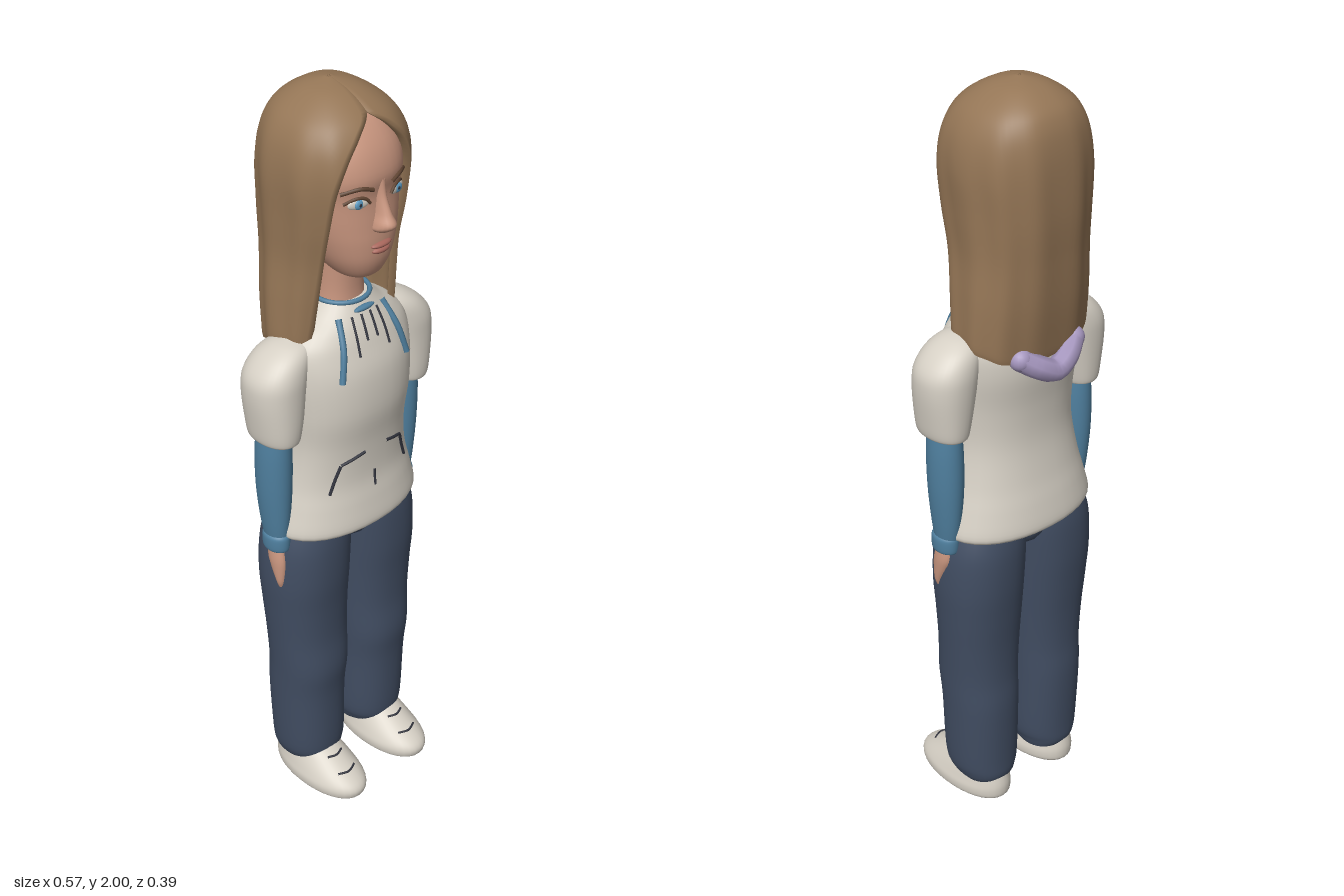
import * as THREE from 'three';

const mat = (name, color, side = THREE.FrontSide) => {
  const m = new THREE.MeshStandardMaterial({ color, side });
  m.name = name;
  return m;
};
const M = {
  skin: mat('skin', 0xc9967f),
  hair: mat('hair brown', 0x957656, THREE.DoubleSide),
  cream: mat('cream cloth', 0xd6d0c5),
  blue: mat('blue knit', 0x4f7f9e),
  navy: mat('navy denim', 0x414d62),
  lilac: mat('lilac', 0xa697bf),
  line: mat('dark seam', 0x33353f),
  brow: mat('brow brown', 0x5f4432),
  iris: mat('iris blue', 0x5d9cc4),
  lip: mat('lip', 0xa8675c),
};

// Smoothly resample rows of numbers
function resample(keys, steps = 5) {
  const out = [];
  const n = keys.length;
  for (let i = 0; i < n - 1; i++) {
    const [a, b, c, d] = [keys[Math.max(i - 1, 0)], keys[i], keys[i + 1], keys[Math.min(i + 2, n - 1)]];
    for (let s = 0; s < steps; s++) {
      const t = s / steps;
      out.push(b.map((v, k) => v + 0.5 * t * (c[k] - a[k]
        + t * (2 * a[k] - 5 * v + 4 * c[k] - d[k] + t * (3 * (v - c[k]) + d[k] - a[k])))));
    }
  }
  out.push(keys[n - 1]);
  return out;
}

// Closed surface through rings of points (ordered bottom to top), capped at both ends
function skinRings(rings) {
  const n = rings[0].length, pos = [], idx = [];
  rings.forEach((r) => r.forEach((p) => pos.push(...p)));
  for (let i = 0; i < rings.length - 1; i++) {
    for (let j = 0; j < n; j++) {
      const a = i * n + j, b = i * n + (j + 1) % n;
      idx.push(a, b, a + n, b, b + n, a + n);
    }
  }
  [[rings[0], true], [rings[rings.length - 1], false]].forEach(([r, bottom]) => {
    const base = pos.length / 3;
    const mid = [0, 1, 2].map((k) => r.reduce((s, p) => s + p[k], 0) / n);
    pos.push(...mid);
    r.forEach((p) => pos.push(...p));
    for (let j = 0; j < n; j++) {
      const a = base + 1 + j, b = base + 1 + (j + 1) % n;
      if (bottom) idx.push(base, b, a); else idx.push(base, a, b);
    }
  });
  const g = new THREE.BufferGeometry();
  g.setAttribute('position', new THREE.Float32BufferAttribute(pos, 3));
  g.setIndex(idx);
  g.computeVertexNormals();
  return g;
}

const pw = (v, e) => Math.sign(v) * Math.abs(v) ** e;

// Body form from rows [y, xMin, xMax, zBack, zFront] with superellipse sections
function form(keys, n = 2.2, seg = 36) {
  const rows = resample(keys);
  const rings = rows.map(([y, x0, x1, z0, z1]) => Array.from({ length: seg }, (_, j) => {
    const t = (j / seg) * Math.PI * 2;
    return [(x0 + x1) / 2 + ((x1 - x0) / 2) * pw(Math.sin(t), 2 / n), y,
      (z0 + z1) / 2 + ((z1 - z0) / 2) * pw(Math.cos(t), 2 / n)];
  }));
  // Front surface depth at a given x and y
  const front = (x, y) => {
    let i = rows.findIndex((r) => r[0] >= y);
    i = Math.max(1, i < 0 ? rows.length - 1 : i);
    const f = (y - rows[i - 1][0]) / (rows[i][0] - rows[i - 1][0]);
    const [, x0, x1, z0, z1] = rows[i].map((v, k) => rows[i - 1][k] + (v - rows[i - 1][k]) * f);
    const u = Math.min(1, Math.abs((2 * x - x0 - x1) / (x1 - x0)));
    return (z0 + z1) / 2 + ((z1 - z0) / 2) * (1 - u ** n) ** (1 / n);
  };
  return { geo: skinRings(rings), front };
}
const sym = (rows) => rows.map(([y, w, z0, z1]) => [y, -w, w, z0, z1]);
const flip = (rows, s) => (s > 0 ? rows : rows.map(([y, x0, x1, z0, z1]) => [y, -x1, -x0, z0, z1]));

// Hair shell: C-shaped sections from rows [y, halfWidth, zBack, zFront, halfOpening]
function hairGeometry() {
  const rows = resample([
    [1.385, .176, -.148, .072, .14], [1.41, .178, -.153, .076, .137], [1.5, .173, -.168, .09, .13],
    [1.6, .165, -.178, .108, .124], [1.7, .167, -.186, .132, .124], [1.8, .17, -.187, .142, .116],
    [1.87, .161, -.182, .135, .088], [1.92, .14, -.17, .114, .045], [1.955, .108, -.147, .082, 0],
    [1.985, .06, -.1, .03, 0], [2, .008, -.045, -.03, 0]], 6);
  const n = 2.4, seg = 56, low = rows[0][0];
  return skinRings(rows.map(([y, rx, z0, z1, open]) => {
    const a = Math.asin(Math.min(1, (Math.max(0, open) / rx) ** (n / 2)));
    const wave = 0.017 * Math.min(1, Math.max(0, (1.98 - y) / 0.2));
    const drop = Math.min(1, Math.max(0, (1.6 - y) / 0.2));
    const thin = y - low < 0.002 ? 0.99 : 0.89;
    const point = (j, k) => {
      const t = a + ((Math.PI * 2 - 2 * a) * j) / seg;
      const r = k * (1 + wave * Math.sin(11 * t + 5 * y));
      return [rx * r * pw(Math.sin(t), 2 / n), y - 0.05 * drop * Math.max(0, -Math.cos(t)),
        (z0 + z1) / 2 + ((z1 - z0) / 2) * r * pw(Math.cos(t), 2 / n)];
    };
    const outer = [], inner = [];
    for (let j = 0; j <= seg; j++) {
      outer.push(point(j, 1));
      inner.unshift(point(j, thin));
    }
    return [...outer, ...inner];
  }));
}

export function createModel() {
  const model = new THREE.Group();
  model.name = 'standing woman';
  const add = (name, geo, material) => {
    const m = new THREE.Mesh(geo, material);
    m.name = name;
    model.add(m);
    return m;
  };
  const ball = (name, material, p, r) => {
    const m = add(name, new THREE.SphereGeometry(1, 20, 14), material);
    m.position.set(...p);
    m.scale.set(...r);
    return m;
  };
  const tube = (name, material, pts, r) => add(name, new THREE.TubeGeometry(
    new THREE.CatmullRomCurve3(pts.map((p) => new THREE.Vector3(...p))), 14, r, 8), material);
  // Thin line lying on the front of a form
  const seam = (name, material, f, pts, r) =>
    tube(name, material, pts.map(([x, y]) => [x, y, f.front(x, y) + r * 0.4]), r);

  // Head, neck and hair
  const head = form(sym([
    [1.545, .03, .02, .085], [1.56, .056, -.02, .112], [1.6, .084, -.06, .13], [1.65, .105, -.09, .135],
    [1.7, .118, -.1, .133], [1.765, .128, -.11, .13], [1.82, .13, -.11, .138], [1.88, .122, -.11, .12],
    [1.93, .09, -.09, .08], [1.955, .04, -.05, .03]]));
  add('head', head.geo, M.skin);
  add('neck', form(sym([[1.43, .066, -.07, .055], [1.5, .058, -.065, .05], [1.62, .06, -.065, .06]])).geo, M.skin);
  add('hair', hairGeometry(), M.hair);
  add('nose', form(sym([
    [1.678, .012, .1, .142], [1.69, .026, .1, .163], [1.705, .025, .1, .175], [1.73, .017, .1, .162],
    [1.77, .013, .1, .145], [1.81, .014, .1, .139]]), 2, 20).geo, M.skin);
  ball('upperLip', M.lip, [0, 1.647, .132], [.031, .008, .013]);
  ball('lowerLip', M.lip, [0, 1.633, .131], [.027, .009, .013]);

  for (const s of [-1, 1]) {
    // Eyes and brows
    const ex = s * 0.06, ey = 1.763, ez = head.front(ex, ey);
    ball('eyeWhite', M.cream, [ex, ey, ez], [.027, .013, .006]).rotation.y = s * 0.3;
    ball('iris', M.iris, [ex, ey, ez + .004], [.013, .012, .005]);
    ball('pupil', M.line, [ex, ey, ez + .007], [.005, .005, .003]);
    seam('upperLid', M.brow, head, [[s * .032, 1.76], [s * .045, 1.774], [s * .065, 1.778], [s * .09, 1.765]], .004);
    seam('brow', M.brow, head, [[s * .028, 1.793], [s * .06, 1.803], [s * .098, 1.792]], .005);

    // Arms
    add('sleeve', form(flip([
      [1.15, .172, .255, -.07, .06], [1.157, .165, .267, -.077, .068], [1.2, .155, .275, -.082, .072],
      [1.28, .14, .283, -.087, .072], [1.33, .13, .277, -.086, .07], [1.37, .12, .245, -.075, .06],
      [1.395, .11, .205, -.052, .04], [1.405, .13, .17, -.02, .01]], s)).geo, M.cream);
    add('forearm', form(flip([
      [.83, .19, .237, -.04, .026], [.9, .182, .247, -.052, .034], [1, .175, .256, -.06, .04],
      [1.1, .174, .257, -.06, .042], [1.18, .18, .25, -.055, .04]], s), 2).geo, M.blue);
    add('cuff', form(flip([
      [.812, .193, .238, -.038, .026], [.82, .187, .245, -.045, .034], [.852, .185, .246, -.046, .035],
      [.862, .19, .24, -.04, .03]], s), 2).geo, M.blue);
    add('hand', form(flip([
      [.7, .213, .228, .008, .022], [.72, .21, .234, .002, .027], [.76, .205, .237, -.018, .03],
      [.79, .203, .237, -.028, .028], [.83, .203, .232, -.025, .018]], s), 2, 20).geo, M.skin);

    // Trouser legs
    add('trouserLeg', form(flip([
      [.06, .038, .178, -.098, .04], [.08, .03, .19, -.106, .07], [.13, .018, .201, -.108, .082],
      [.3, .016, .208, -.113, .086], [.4, .012, .212, -.108, .095], [.5, .008, .218, -.11, .088],
      [.6, .004, .225, -.118, .09], [.7, 0, .23, -.126, .097], [.8, -.004, .223, -.126, .097],
      [.87, 0, .2, -.115, .09]], s)).geo, M.navy);

    // Shoes with stitching
    const shoe = form(flip([
      [0, .045, .185, -.1, .185], [.01, .037, .193, -.108, .195], [.03, .035, .195, -.11, .197],
      [.05, .04, .19, -.108, .18], [.08, .05, .18, -.1, .13], [.11, .063, .167, -.09, .078],
      [.125, .08, .15, -.07, .04]], s), 2.1);
    add('shoe', shoe.geo, M.cream);
    for (const [y, w] of [[.068, .03], [.096, .026]]) {
      seam('shoeStitch', M.line, shoe, [-1, 0, 1].map((k) => [s * .115 + k * w, y]), .003);
    }
  }
  ball('crotch', M.navy, [0, .84, -.012], [.065, .085, .108]);

  // Hooded top
  const top = form(sym([
    [.85, .213, -.15, .128], [.868, .222, -.16, .138], [.93, .206, -.15, .13], [1, .188, -.135, .12],
    [1.1, .175, -.122, .125], [1.2, .18, -.126, .139], [1.3, .188, -.14, .135], [1.37, .183, -.135, .115],
    [1.41, .15, -.115, .1], [1.44, .105, -.088, .086], [1.47, .072, -.068, .07]]));
  add('hoodedTop', top.geo, M.cream);
  const collar = add('collar', new THREE.TorusGeometry(.069, .006, 8, 36), M.blue);
  collar.rotation.x = Math.PI / 2;
  collar.position.y = 1.473;
  ball('collarKnot', M.blue, [0, 1.456, .08], [.032, .007, .009]);
  for (const s of [-1, 1]) {
    seam('drawstring', M.blue, top, [[s * .07, 1.445], [s * .088, 1.38], [s * .106, 1.305]], .008);
    seam('gatherFold', M.line, top, [[s * .04, 1.445], [s * .045, 1.4], [s * .048, 1.355]], .003);
    seam('gatherFold', M.line, top, [[s * .014, 1.445], [s * .015, 1.42], [s * .016, 1.385]], .003);
    seam('pocketTop', M.line, top, [[s * .035, 1.08], [s * .07, 1.07], [s * .1, 1.06]], .004);
    seam('pocketSide', M.line, top, [[s * .1, 1.06], [s * .114, 1.02], [s * .128, .98]], .004);
  }
  seam('pocketCentre', M.line, top, [[0, .965], [0, .99], [0, 1.012]], .003);

  // Lilac hair band at the ends of the hair
  tube('hairBand', M.lilac, [[-.085, 1.352, -.135], [-.045, 1.325, -.157], [0, 1.305, -.163],
    [.045, 1.325, -.157], [.085, 1.352, -.135]], .029);
  for (const s of [-1, 1]) ball('hairBandEnd', M.lilac, [s * .085, 1.352, -.135], [.029, .029, .029]);
  return model;
}
